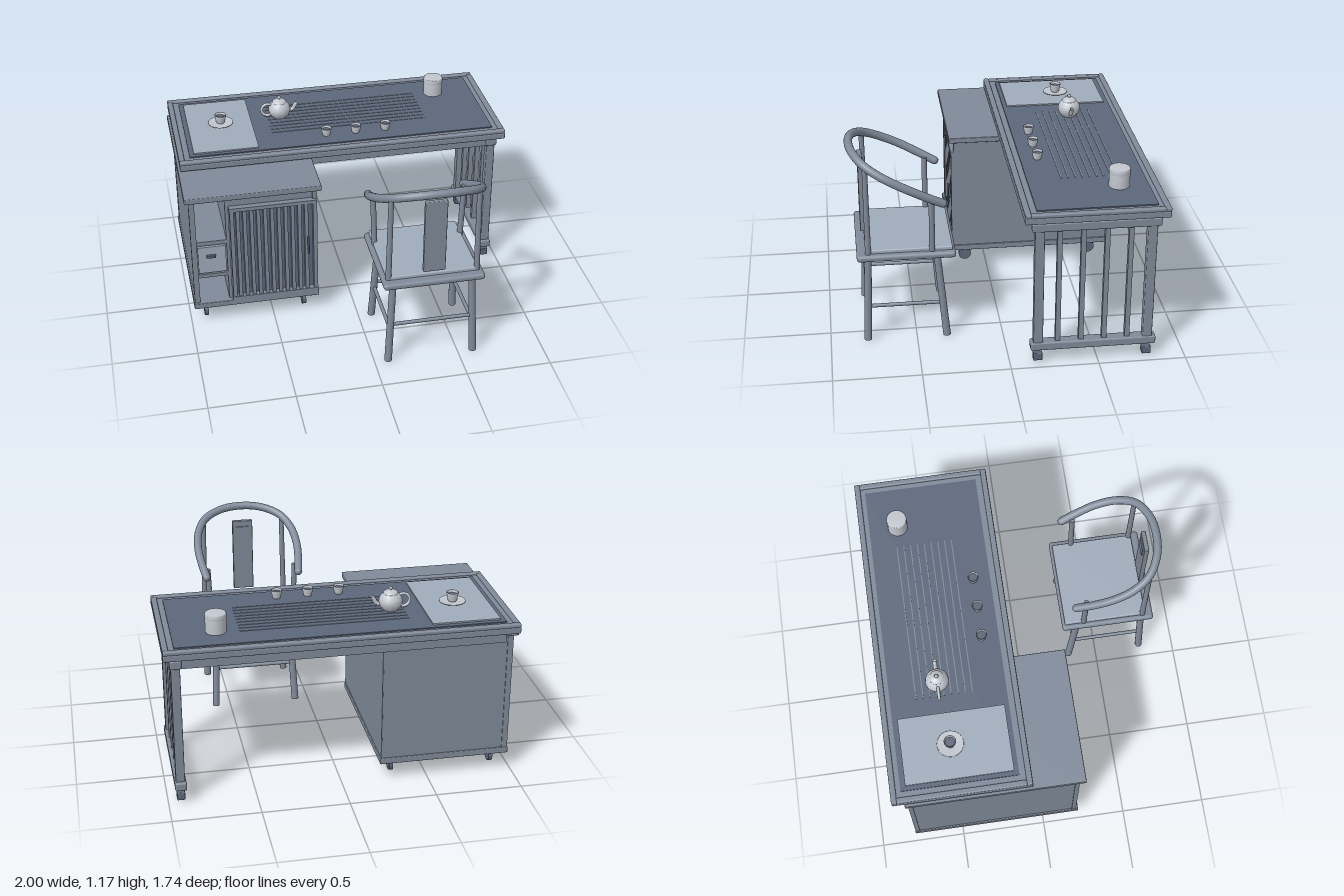
import * as THREE from 'three';
import { RoundedBoxGeometry } from 'three/addons/geometries/RoundedBoxGeometry.js';

const material = (color) => new THREE.MeshStandardMaterial({ color, side: THREE.DoubleSide });

export function createModel() {
  const root = new THREE.Group();
  const wood = material(0x7f8998), dark = material(0x5c677b), pale = material(0xa0abbb), ceramic = material(0xc2c7cf);
  const V = (x, y, z) => new THREE.Vector3(x, y, z);

  const section = (name) => {
    const g = new THREE.Group();
    g.name = name;
    root.add(g);
    return g;
  };
  const add = (parent, name, geometry, mat = wood) => {
    const m = new THREE.Mesh(geometry, mat);
    m.name = name;
    parent.add(m);
    return m;
  };
  // Box given by its limits on each axis; r rounds the edges
  const box = (parent, name, [x0, x1], [y0, y1], [z0, z1], mat = wood, r = 0) => {
    const s = [x1 - x0, y1 - y0, z1 - z0];
    const g = r ? new RoundedBoxGeometry(...s, 3, r) : new THREE.BoxGeometry(...s);
    const m = add(parent, name, g, mat);
    m.position.set((x0 + x1) / 2, (y0 + y1) / 2, (z0 + z1) / 2);
    return m;
  };
  // Round bar between two points
  const rod = (parent, name, a, b, r0, r1 = r0, mat = wood) => {
    const m = add(parent, name, new THREE.CylinderGeometry(r1, r0, a.distanceTo(b), 20), mat);
    m.position.copy(a).lerp(b, 0.5);
    m.quaternion.setFromUnitVectors(V(0, 1, 0), b.clone().sub(a).normalize());
    return m;
  };
  const lathe = (parent, name, points, x, y, z) => {
    const m = add(parent, name, new THREE.LatheGeometry(points.map((p) => new THREE.Vector2(...p)), 32), ceramic);
    m.position.set(x, y, z);
    return m;
  };

  // Desk top with raised rim and sunken tray
  const desk = section('desk');
  box(desk, 'deskTop', [-0.988, 0.996], [0.9, 0.94], [-0.87, -0.07], wood, 0.008);
  for (const z of [-0.87, -0.105]) box(desk, 'longRim', [-0.988, 0.996], [0.936, 0.96], [z, z + 0.033], wood, 0.008);
  for (const x of [-0.988, 0.963]) box(desk, 'sideRim', [x, x + 0.033], [0.936, 0.96], [-0.84, -0.103], wood, 0.008);
  box(desk, 'trayBorder', [-0.957, 0.964], [0.935, 0.948], [-0.84, -0.103]);
  box(desk, 'tray', [-0.922, 0.932], [0.94, 0.955], [-0.81, -0.14], dark);
  for (let i = 0; i < 9; i++) {
    const z = -0.66 + i * 0.0406;
    box(desk, 'drainRib', [-0.4, 0.555], [0.95, 0.958], [z - 0.003, z + 0.003]);
  }
  box(desk, 'stoneSlab', [-0.895, -0.505], [0.95, 0.963], [-0.78, -0.165], pale);
  box(desk, 'underframe', [-0.92, 0.92], [0.832, 0.902], [-0.82, -0.125]);

  // Slatted end support
  const end = section('endSupport');
  box(end, 'topBeam', [0.894, 0.96], [0.832, 0.885], [-0.83, -0.115], wood, 0.01);
  box(end, 'bottomBeam', [0.894, 0.96], [0.08, 0.13], [-0.83, -0.115], wood, 0.01);
  for (const z of [-0.158, -0.782]) {
    box(end, 'endPost', [0.902, 0.953], [0.12, 0.9], [z - 0.027, z + 0.027], wood, 0.006);
    box(end, 'foot', [0.904, 0.95], [0.01, 0.057], [z - 0.026, z + 0.026], dark, 0.005);
  }
  for (let i = 0; i < 4; i++) {
    const z = -0.27 - i * 0.132;
    box(end, 'endSlat', [0.912, 0.942], [0.12, 0.84], [z - 0.014, z + 0.014]);
  }

  // Side cabinet carcass
  const cabinet = section('cabinet');
  box(cabinet, 'cabinetTop', [-1, -0.2], [0.858, 0.892], [-0.8, 0.232], wood, 0.005);
  box(cabinet, 'cabinetBase', [-0.98, -0.22], [0.105, 0.142], [-0.79, 0.215], wood, 0.005);
  box(cabinet, 'outerSide', [-0.97, -0.942], [0.14, 0.86], [-0.78, 0.195]);
  box(cabinet, 'innerSide', [-0.25, -0.226], [0.14, 0.86], [-0.78, 0.2]);
  box(cabinet, 'divider', [-0.765, -0.745], [0.14, 0.86], [-0.765, 0.185]);
  box(cabinet, 'backPanel', [-0.965, -0.23], [0.14, 0.86], [-0.782, -0.762]);
  for (const z of [-0.787, 0.175]) box(cabinet, 'cornerPost', [-0.975, -0.942], [0.14, 0.86], [z, z + 0.026]);

  // Open shelves and drawer
  box(cabinet, 'upperShelf', [-0.945, -0.76], [0.535, 0.563], [-0.765, 0.185]);
  box(cabinet, 'lowerShelf', [-0.945, -0.76], [0.308, 0.332], [-0.765, 0.185]);
  box(cabinet, 'drawer', [-0.938, -0.772], [0.345, 0.527], [-0.6, 0.19], pale);
  box(cabinet, 'drawerPull', [-0.888, -0.832], [0.455, 0.473], [0.188, 0.206], dark, 0.004);

  // Slatted sliding door
  box(cabinet, 'doorHeader', [-0.75, -0.24], [0.79, 0.86], [0.165, 0.185]);
  box(cabinet, 'doorBacking', [-0.74, -0.23], [0.14, 0.79], [0.165, 0.185], dark);
  for (const y of [0.142, 0.768]) box(cabinet, 'doorRail', [-0.745, -0.226], [y, y + 0.024], [0.18, 0.22]);
  for (const x of [-0.742, -0.25]) box(cabinet, 'doorStile', [x, x + 0.024], [0.15, 0.78], [0.18, 0.217]);
  for (let i = 0; i < 11; i++) {
    const x = -0.695 + i * 0.0405;
    box(cabinet, 'doorSlat', [x - 0.011, x + 0.011], [0.16, 0.775], [0.184, 0.213]);
  }
  rod(cabinet, 'doorHandle', V(-0.283, 0.435, 0.234), V(-0.283, 0.55, 0.234), 0.006, 0.006, dark);
  for (const y of [0.455, 0.53]) rod(cabinet, 'handleMount', V(-0.283, y, 0.205), V(-0.283, y, 0.234), 0.005, 0.005, dark);

  // Casters
  for (const x of [-0.905, -0.305])
    for (const z of [0.13, -0.67]) {
      rod(cabinet, 'casterWheel', V(x - 0.012, 0.04, z), V(x + 0.012, 0.04, z), 0.039, 0.039, dark);
      rod(cabinet, 'casterStem', V(x, 0.06, z), V(x, 0.11, z), 0.013);
    }

  // Chair, facing the desk
  const chair = section('chair');
  chair.position.x = 0.336;
  box(chair, 'seatFrame', [-0.295, 0.295], [0.524, 0.564], [0.268, 0.83], wood, 0.018);
  box(chair, 'seatPanel', [-0.268, 0.262], [0.55, 0.585], [0.285, 0.78], pale, 0.008);
  for (const s of [-1, 1]) {
    rod(chair, 'frontLeg', V(s * 0.255, 0, 0.325), V(s * 0.23, 0.54, 0.375), 0.022, 0.02);
    rod(chair, 'rearLeg', V(s * 0.255, 0, 0.785), V(s * 0.23, 0.54, 0.765), 0.022, 0.02);
    rod(chair, 'sideStretcher', V(s * 0.244, 0.215, 0.345), V(s * 0.244, 0.215, 0.777), 0.011);
    rod(chair, 'armPost', V(s * 0.258, 0.56, 0.402), V(s * 0.27, 0.9, 0.402), 0.017, 0.016);
    rod(chair, 'backPost', V(s * 0.258, 0.56, 0.765), V(s * 0.25, 1.085, 0.765), 0.017, 0.015);
  }
  rod(chair, 'frontStretcher', V(-0.243, 0.25, 0.348), V(0.243, 0.25, 0.348), 0.011);
  rod(chair, 'rearStretcher', V(-0.243, 0.25, 0.776), V(0.243, 0.25, 0.776), 0.011);
  box(chair, 'backSplat', [-0.064, 0.064], [0.606, 1.067], [0.772, 0.8], wood, 0.005);
  box(chair, 'splatInset', [-0.04, 0.04], [0.95, 1.03], [0.765, 0.775]);

  // Horseshoe arm rail
  const half = [[0.285, 0.872, 0.34], [0.302, 0.925, 0.44], [0.31, 0.985, 0.55],
    [0.292, 1.047, 0.67], [0.235, 1.1, 0.768], [0.125, 1.135, 0.828]];
  const rail = [...half.map(([x, y, z]) => V(-x, y, z)), V(0, 1.145, 0.845),
    ...half.slice().reverse().map((p) => V(...p))];
  add(chair, 'armRail', new THREE.TubeGeometry(new THREE.CatmullRomCurve3(rail), 72, 0.024, 16));
  for (const i of [0, rail.length - 1])
    add(chair, 'railEnd', new THREE.SphereGeometry(0.024, 16, 12)).position.copy(rail[i]);

  // Tea things
  const tea = section('teaSet');
  const cupAt = (x, y, z, scale) => {
    const cup = lathe(tea, 'cup', [[0, 0], [0.02, 0], [0.025, 0.01], [0.032, 0.05], [0.028, 0.05], [0.021, 0.013], [0, 0.01]], x, y, z);
    cup.scale.setScalar(scale);
    rod(cup, 'teaSurface', V(0, 0.034, 0), V(0, 0.038, 0), 0.025, 0.0255, dark);
  };
  for (const x of [-0.082, 0.1, 0.282]) cupAt(x, 0.955, -0.24, 1);
  lathe(tea, 'saucer', [[0, 0], [0.055, 0], [0.077, 0.007], [0.075, 0.01], [0.05, 0.005], [0, 0.005]], -0.693, 0.963, -0.5);
  cupAt(-0.693, 0.967, -0.5, 1.1);
  lathe(tea, 'canister', [[0, 0], [0.056, 0], [0.059, 0.004], [0.059, 0.083], [0.057, 0.085], [0.06, 0.087],
    [0.06, 0.11], [0.055, 0.115], [0, 0.116]], 0.684, 0.955, -0.64);

  const pot = new THREE.Group();
  pot.name = 'teapot';
  pot.position.set(-0.323, 0.955, -0.527);
  tea.add(pot);
  lathe(pot, 'potBody', [[0, 0], [0.038, 0], [0.042, 0.006], [0.06, 0.025], [0.068, 0.052], [0.064, 0.076],
    [0.05, 0.096], [0.038, 0.104]], 0, 0, 0);
  lathe(pot, 'potLid', [[0.042, 0.102], [0.042, 0.108], [0.03, 0.117], [0.008, 0.122], [0.007, 0.127],
    [0.012, 0.134], [0.008, 0.141], [0, 0.142]], 0, 0, 0);
  add(pot, 'potSpout', new THREE.TubeGeometry(new THREE.CatmullRomCurve3(
    [V(0.05, 0.038, 0), V(0.082, 0.048, 0), V(0.098, 0.074, 0), V(0.109, 0.09, 0)]), 20, 0.012, 12), ceramic);
  add(pot, 'potHandle', new THREE.TorusGeometry(0.038, 0.009, 12, 32), ceramic).position.set(-0.073, 0.056, 0);

  return root;
}
